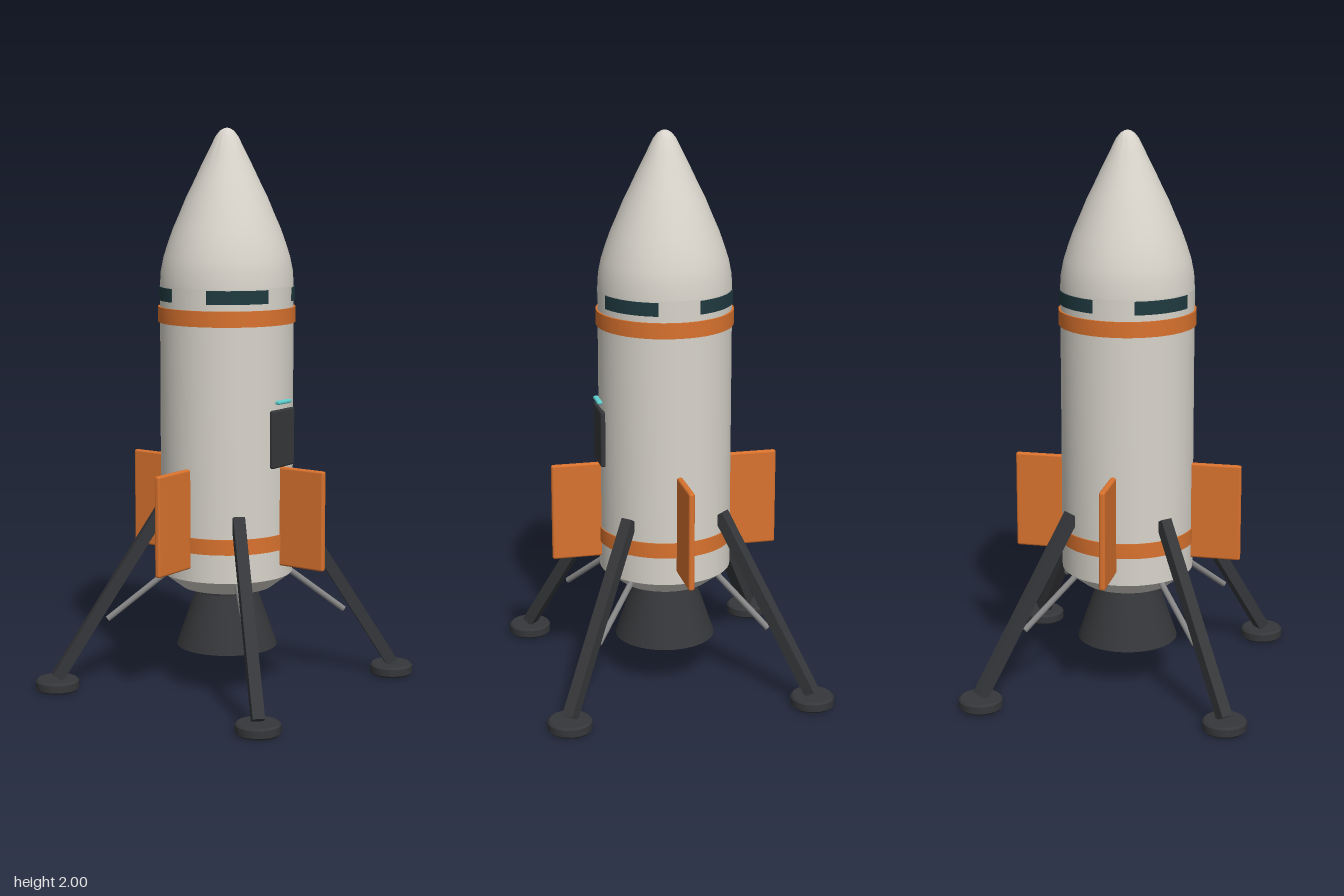
import * as THREE from 'three';
import { toCreasedNormals } from 'three/addons/utils/BufferGeometryUtils.js';
import { RoundedBoxGeometry } from 'three/addons/geometries/RoundedBoxGeometry.js';

const mat = (color, side = THREE.FrontSide) => new THREE.MeshStandardMaterial({ color, side });
const WHITE = mat(0xd8d4cb), ORANGE = mat(0xd9722e), DARK = mat(0x36373a), STEEL = mat(0x858585);
const BELL = mat(0x36373a, THREE.DoubleSide), GLASS = mat(0x1f3a40), CYAN = mat(0x5fd0d0);

function add(parent, name, geometry, material, x = 0, y = 0, z = 0) {
  const mesh = new THREE.Mesh(geometry, material);
  mesh.name = name;
  mesh.position.set(x, y, z);
  parent.add(mesh);
  return mesh;
}

// Lathe from [radius, height] pairs listed bottom to top
function lathe(points, segments = 48) {
  const geo = new THREE.LatheGeometry(points.map(([r, y]) => new THREE.Vector2(r, y)), segments);
  return toCreasedNormals(geo, 0.45);
}

// Bar between two (height, outward distance) points in the local y-z plane
function bar(parent, name, geometry, material, [y0, z0], [y1, z1]) {
  const mesh = add(parent, name, geometry, material, 0, (y0 + y1) / 2, (z0 + z1) / 2);
  mesh.scale.y = Math.hypot(y1 - y0, z1 - z0);
  mesh.rotation.x = Math.atan2(z1 - z0, y1 - y0);
  return mesh;
}

export function createModel() {
  const rocket = new THREE.Group();
  rocket.name = 'rocket';

  // Hull with tapered tail, and nose cone
  add(rocket, 'hull', lathe([[0, 0.365], [0.165, 0.365], [0.237, 0.42], [0.237, 1.45]]), WHITE);
  add(rocket, 'noseCone', lathe([
    [0.237, 1.45], [0.234, 1.5], [0.224, 1.55], [0.208, 1.6], [0.19, 1.65], [0.168, 1.7],
    [0.143, 1.76], [0.118, 1.81], [0.092, 1.865], [0.062, 1.925], [0.04, 1.97], [0.025, 1.989],
    [0.012, 1.997], [0, 2],
  ]), WHITE);

  // Orange bands
  const band = (name, r, y0, y1) =>
    add(rocket, name, lathe([[0.23, y0], [r, y0], [r, y1], [0.23, y1]]), ORANGE);
  band('upperBand', 0.244, 1.32, 1.375);
  band('lowerBand', 0.241, 0.522, 0.577);

  // Engine
  add(rocket, 'engineMount', new THREE.CylinderGeometry(0.125, 0.125, 0.02, 32), DARK, 0, 0.358, 0);
  add(rocket, 'engineBell', lathe([
    [0.168, 0.145], [0.182, 0.145], [0.146, 0.25], [0.11, 0.352], [0.1, 0.352], [0.134, 0.25], [0.168, 0.145],
  ], 32), BELL);

  // Curved window strips on the four diagonals
  const arc = 0.94, ri = 0.23, ro = 0.241;
  for (let i = 0; i < 4; i++) {
    const a = Math.PI / 4 + i * Math.PI / 2;
    const shape = new THREE.Shape();
    shape.absarc(0, 0, ro, a - arc / 2, a + arc / 2, false);
    shape.absarc(0, 0, ri, a + arc / 2, a - arc / 2, true);
    const geo = new THREE.ExtrudeGeometry(shape, { depth: 0.047, bevelEnabled: false, curveSegments: 14 });
    geo.rotateX(-Math.PI / 2);
    add(rocket, 'window', geo, GLASS, 0, 1.398, 0);
  }

  // Fins on the axes
  for (let i = 0; i < 4; i++) {
    const fin = new THREE.Group();
    fin.name = 'fin';
    fin.rotation.y = i * Math.PI / 2;
    add(fin, 'finPlate', new RoundedBoxGeometry(0.022, 0.355, 0.195, 2, 0.008), ORANGE, 0, 0.642, 0.318);
    rocket.add(fin);
  }

  // Landing legs on the diagonals
  for (let i = 0; i < 4; i++) {
    const leg = new THREE.Group();
    leg.name = 'landingLeg';
    leg.rotation.y = Math.PI / 4 + i * Math.PI / 2;
    bar(leg, 'legBeam', new THREE.BoxGeometry(0.042, 1, 0.042), DARK, [0.045, 0.618], [0.65, 0.235]);
    bar(leg, 'legStrut', new THREE.CylinderGeometry(0.011, 0.011, 1, 10), STEEL, [0.252, 0.435], [0.42, 0.215]);
    add(leg, 'footPad', lathe([
      [0, 0], [0.071, 0], [0.078, 0.007], [0.078, 0.033], [0.071, 0.04], [0, 0.04],
    ], 18), DARK, 0, 0, 0.618);
    rocket.add(leg);
  }

  // Hatch with a light above it on the left side
  add(rocket, 'hatch', new RoundedBoxGeometry(0.018, 0.205, 0.136, 2, 0.007), DARK, 0.238, 0.922, 0);
  add(rocket, 'hatchLight', new RoundedBoxGeometry(0.02, 0.013, 0.08, 2, 0.005), CYAN, 0.243, 1.05, 0);

  return rocket;
}
